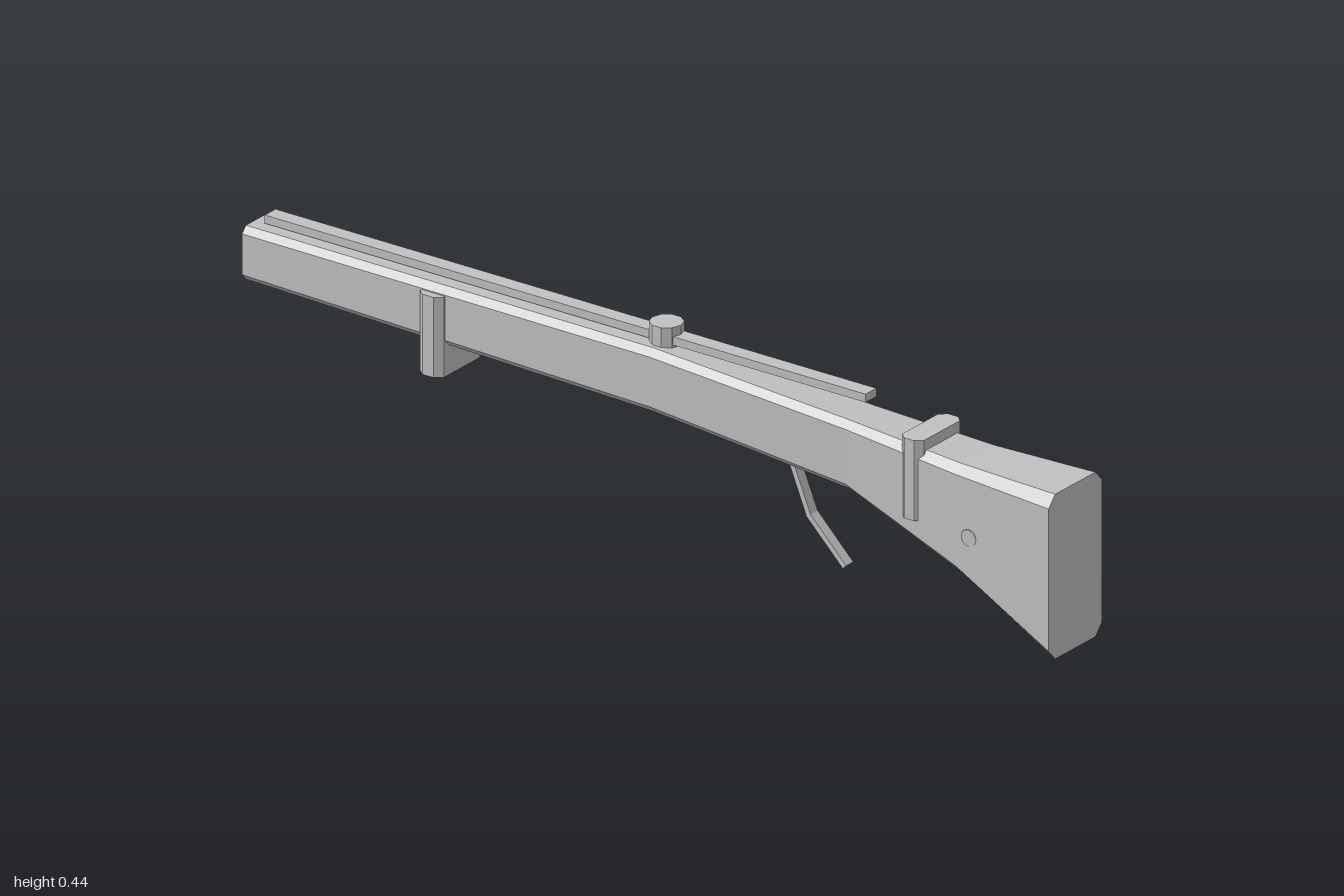
import * as THREE from 'three';

const metal = new THREE.MeshStandardMaterial({ color: 0xc0c0c0 });
metal.name = 'plain grey';

function part(name, geometry, x = 0, y = 0, z = 0) {
  const flat = geometry.index ? geometry.toNonIndexed() : geometry;
  flat.computeVertexNormals();
  const mesh = new THREE.Mesh(flat, metal);
  mesh.name = name;
  mesh.position.set(x, y, z);
  return mesh;
}

// Chamfered body lofted through sections: [z, bottom, top, half width, chamfer x, chamfer y]
function stockGeometry() {
  const sections = [
    [1, 0, 0.355, 0.089, 0.022, 0.024],
    [0.76, 0.122, 0.355, 0.073, 0.018, 0.018],
    [0.48, 0.222, 0.37, 0.058, 0.015, 0.015],
    [0, 0.263, 0.4, 0.058, 0.014, 0.015],
    [-1, 0.284, 0.4, 0.053, 0.013, 0.014],
  ];
  const rings = sections.map(([z, b, t, w, cx, cy]) => [
    [w - cx, b], [w, b + cy], [w, t - cy], [w - cx, t],
    [cx - w, t], [-w, t - cy], [-w, b + cy], [cx - w, b],
  ].map(([x, y]) => [x, y, z]));
  const pos = [];
  const tri = (...corners) => corners.forEach((c) => pos.push(...c));
  for (let s = 0; s < rings.length - 1; s++) {
    const a = rings[s], b = rings[s + 1];
    for (let i = 0; i < 8; i++) {
      const j = (i + 1) % 8;
      tri(a[i], b[i], b[j]);
      tri(a[i], b[j], a[j]);
    }
  }
  // End caps
  const first = rings[0], last = rings[rings.length - 1];
  for (let i = 1; i < 7; i++) {
    tri(first[0], first[i], first[i + 1]);
    tri(last[0], last[i + 1], last[i]);
  }
  const g = new THREE.BufferGeometry();
  g.setAttribute('position', new THREE.Float32BufferAttribute(pos, 3));
  return g;
}

// Upright block with clipped corners, seen from above
function bandGeometry(halfX, halfZ, height) {
  const cx = 0.013, cz = 0.015;
  const pts = [
    [halfX - cx, -halfZ], [halfX, cz - halfZ], [halfX, halfZ - cz], [halfX - cx, halfZ],
    [cx - halfX, halfZ], [-halfX, halfZ - cz], [-halfX, cz - halfZ], [cx - halfX, -halfZ],
  ].map(([x, z]) => new THREE.Vector2(x, z));
  const g = new THREE.ExtrudeGeometry(new THREE.Shape(pts), { depth: height, bevelEnabled: false });
  return g.rotateX(-Math.PI / 2);
}

// Bent strip: the side outline (z, y) is extruded across x
function triggerGeometry() {
  const pts = [
    [0.297, 0.25], [0.309, 0.25], [0.361, 0.124], [0.448, 0.036],
    [0.44, 0.028], [0.351, 0.117],
  ].map(([z, y]) => new THREE.Vector2(-z, y));
  const g = new THREE.ExtrudeGeometry(new THREE.Shape(pts), { depth: 0.024, bevelEnabled: false });
  return g.translate(0, 0, -0.012).rotateY(Math.PI / 2);
}

export function createModel() {
  const model = new THREE.Group();
  model.name = 'rifle';
  model.add(part('stock', stockGeometry()));

  // Long bar above the stock, with a round knob at its middle
  model.add(part('topRod', new THREE.BoxGeometry(0.036, 0.018, 1.47), 0, 0.413, -0.235));
  model.add(part('sightKnob', new THREE.CylinderGeometry(0.035, 0.035, 0.046, 10), 0, 0.419, 0));

  // Crosswise bands
  model.add(part('rearBand', bandGeometry(0.073, 0.027, 0.173), 0, 0.21, 0.647));
  model.add(part('frontBand', bandGeometry(0.073, 0.029, 0.173), 0, 0.21, -0.53));

  // Pin through the butt
  const pin = new THREE.CylinderGeometry(0.018, 0.018, 0.155, 16).rotateZ(Math.PI / 2);
  model.add(part('buttPin', pin, 0, 0.21, 0.795));

  model.add(part('trigger', triggerGeometry()));
  return model;
}
